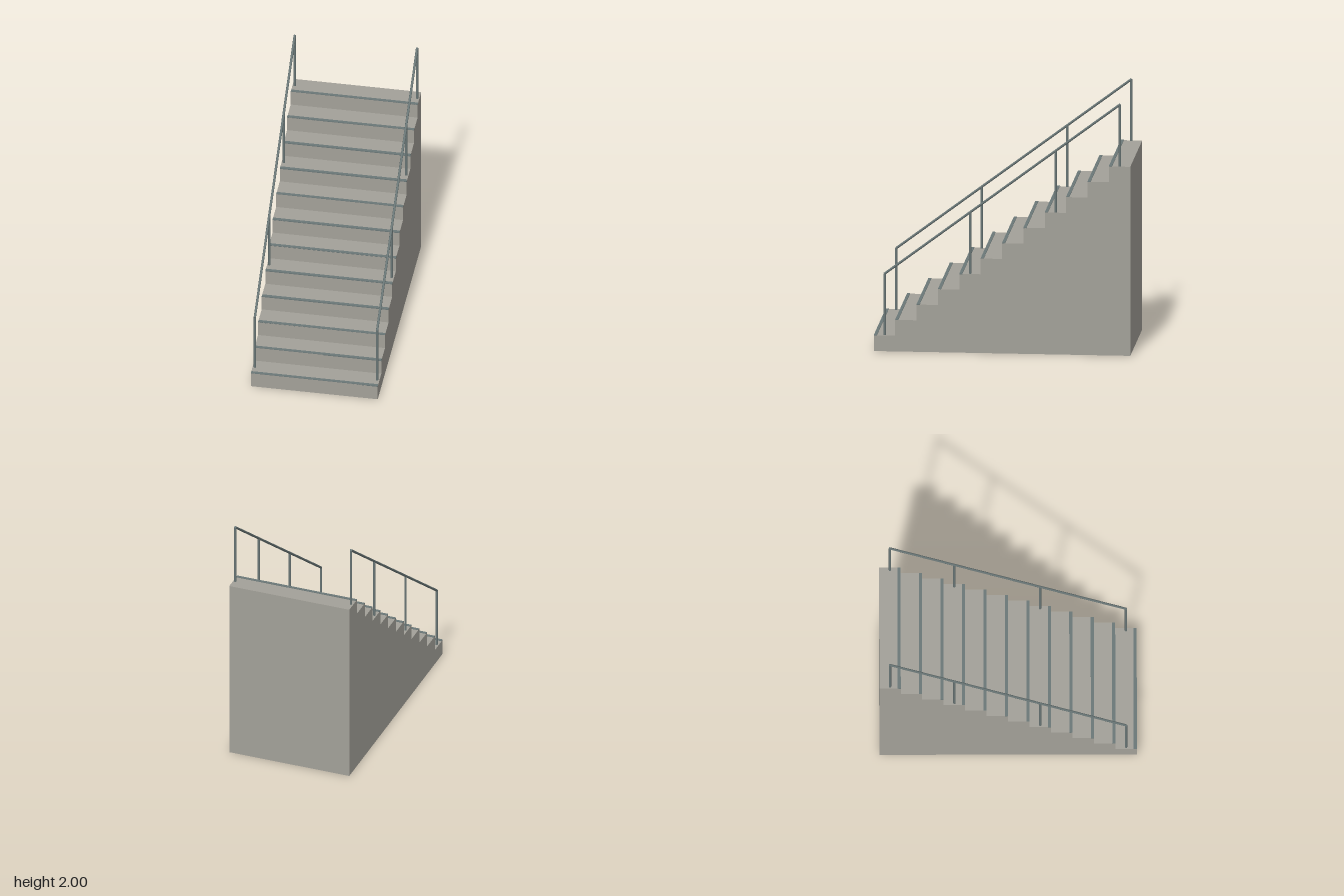
import * as THREE from 'three';

const STEPS = 12, DEPTH = 2 / STEPS, RISE = 0.125, WIDTH = 1;
const RAIL_X = 0.482, RAIL_HEIGHT = 0.488, RADIUS = 0.0095;

export function createModel() {
  const stairs = new THREE.Group();
  stairs.name = 'staircase';
  const stone = new THREE.MeshStandardMaterial({ color: 0xa3a199 });
  const metal = new THREE.MeshStandardMaterial({ color: 0x6b7878 });

  const add = (parent, name, geometry, material, x, y, z) => {
    const mesh = new THREE.Mesh(geometry, material);
    mesh.name = name;
    mesh.position.set(x, y, z);
    parent.add(mesh);
    return mesh;
  };
  const stepZ = (i) => 1 - (i + 0.5) * DEPTH;
  const stepTop = (i) => (i + 1) * RISE;

  // Solid steps down to the ground, each with a thin metal nosing at its front edge
  for (let i = 0; i < STEPS; i++) {
    const top = stepTop(i);
    add(stairs, 'step', new THREE.BoxGeometry(WIDTH, top, DEPTH), stone, 0, top / 2, stepZ(i));
    add(stairs, 'nosing', new THREE.BoxGeometry(WIDTH, 0.008, 0.024), metal,
      0, top, stepZ(i) + DEPTH / 2 - 0.012);
  }

  // A handrail on each side: four posts and one sloping rail
  for (const side of [-1, 1]) {
    const handrail = new THREE.Group();
    handrail.name = side > 0 ? 'leftHandrail' : 'rightHandrail';
    handrail.position.x = side * RAIL_X;
    stairs.add(handrail);

    for (const i of [0, 4, 8, STEPS - 1]) {
      add(handrail, 'post', new THREE.CylinderGeometry(RADIUS, RADIUS, RAIL_HEIGHT, 8), metal,
        0, stepTop(i) + RAIL_HEIGHT / 2, stepZ(i));
    }

    const start = new THREE.Vector3(0, stepTop(0) + RAIL_HEIGHT, stepZ(0));
    const end = new THREE.Vector3(0, stepTop(STEPS - 1) + RAIL_HEIGHT, stepZ(STEPS - 1));
    const span = end.clone().sub(start);
    const middle = start.clone().add(end).multiplyScalar(0.5);
    const rail = add(handrail, 'rail',
      new THREE.CylinderGeometry(RADIUS, RADIUS, span.length() + 0.006, 8), metal,
      middle.x, middle.y, middle.z);
    rail.quaternion.setFromUnitVectors(new THREE.Vector3(0, 1, 0), span.normalize());
  }
  return stairs;
}
